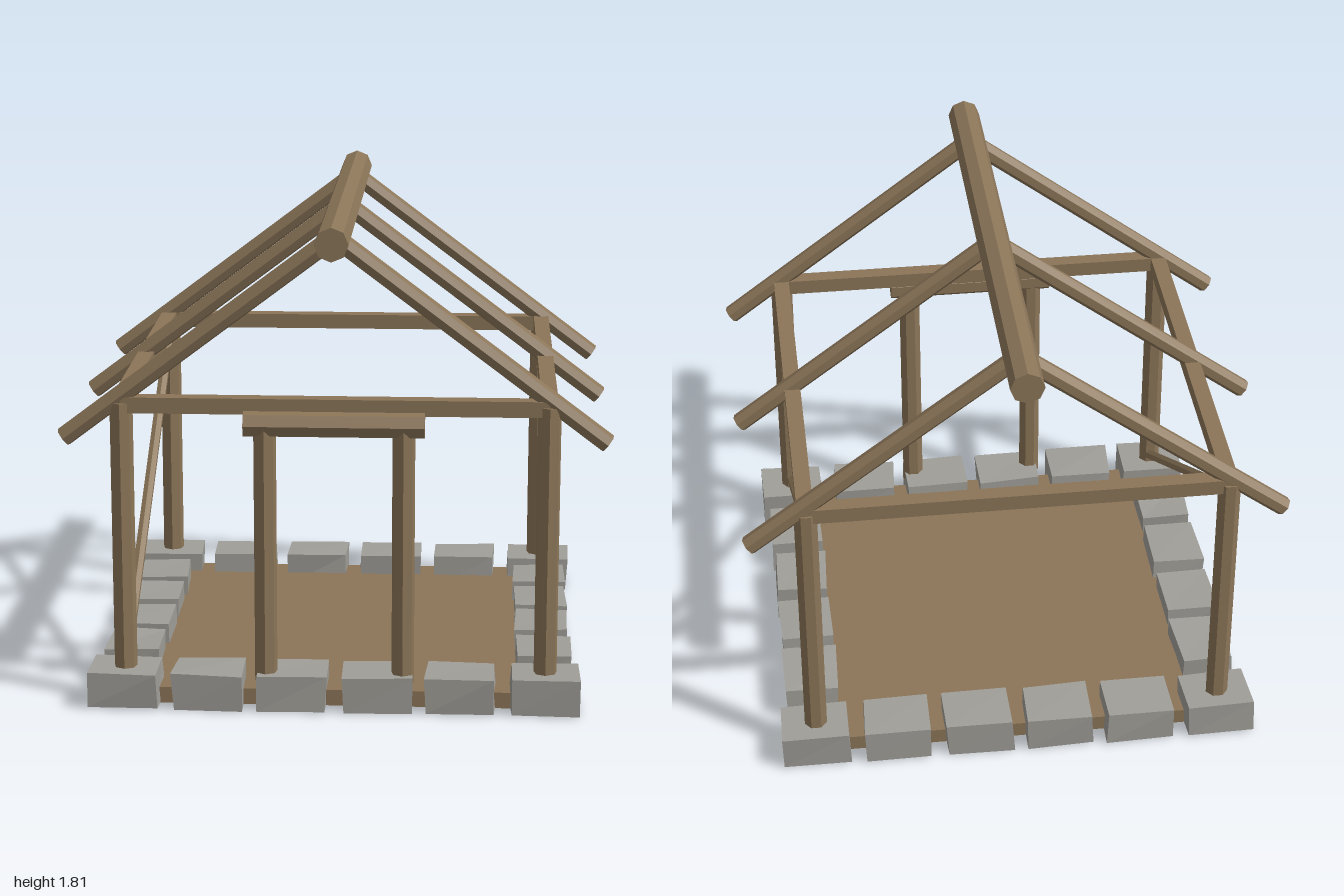
import * as THREE from 'three';

export function createModel() {
  const model = new THREE.Group();
  model.name = 'timberFrameHut';

  const material = (name, color) => {
    const m = new THREE.MeshStandardMaterial({ color });
    m.name = name;
    return m;
  };
  const wood = material('wood', 0x8b7558);
  const earth = material('earth floor', 0x8b7558);
  const stone = material('stone', 0xa09e98);

  const add = (name, geometry, mat) => {
    const mesh = new THREE.Mesh(geometry, mat);
    mesh.name = name;
    model.add(mesh);
    return mesh;
  };

  // Faceted log between two points
  const log = (name, a, b, radius, sides = 7) => {
    const from = new THREE.Vector3(...a), to = new THREE.Vector3(...b);
    const dir = to.clone().sub(from);
    const geo = new THREE.CylinderGeometry(radius, radius, dir.length(), sides).toNonIndexed();
    geo.computeVertexNormals();
    const mesh = add(name, geo, wood);
    mesh.position.copy(from).add(to).multiplyScalar(0.5);
    mesh.quaternion.setFromUnitVectors(new THREE.Vector3(0, 1, 0), dir.normalize());
    return mesh;
  };

  const box = (name, size, pos, mat) => add(name, new THREE.BoxGeometry(...size), mat).position.set(...pos);

  // Seeded irregularity for the stones
  let seed = 7;
  const jitter = (amount) => {
    seed = (seed * 16807) % 2147483647;
    return (seed / 2147483647 - 0.5) * 2 * amount;
  };

  // Rough block: each of the eight corners is nudged once
  const block = (x, z, w, d) => {
    const geo = new THREE.BoxGeometry(w, 0.135, d).toNonIndexed();
    const nudges = Array.from({ length: 8 }, () => [jitter(0.007), jitter(0.004), jitter(0.007)]);
    const p = geo.attributes.position;
    for (let i = 0; i < p.count; i++) {
      const corner = (p.getX(i) > 0 ? 1 : 0) + (p.getY(i) > 0 ? 2 : 0) + (p.getZ(i) > 0 ? 4 : 0);
      const [dx, dy, dz] = nudges[corner];
      p.setXYZ(i, p.getX(i) + dx, p.getY(i) + dy, p.getZ(i) + dz);
    }
    geo.computeVertexNormals();
    const mesh = add('foundationStone', geo, stone);
    mesh.position.set(x, 0.072, z);
    mesh.rotation.y = jitter(0.03);
  };

  // Earth floor
  box('floor', [1.58, 0.06, 1.58], [0, 0.033, 0], earth);

  // Ring of foundation stones
  const C = 0.77;
  for (let i = 0; i < 6; i++) {
    const t = -C + i * (2 * C / 5);
    for (const s of [-1, 1]) {
      block(t, s * C, 0.25, 0.2);
      if (i > 0 && i < 5) block(s * C, t, 0.2, 0.25);
    }
  }

  // Corner posts, side beams and diagonal braces
  for (const s of [-1, 1]) {
    for (const e of [-1, 1]) log('cornerPost', [s * C, 0.1, e * C], [s * C, 1.135, e * C], 0.043);
    box('sideBeam', [0.06, 0.06, 2 * C], [s * C, 1.13, 0], wood);
    box('endBeam', [2 * C, 0.058, 0.06], [0, 1.129, s * C], wood);
    log('brace', [s * C, 0.15, C], [s * C, 1.1, -C], 0.021, 6);
  }

  // Doorway
  for (const s of [-1, 1]) log('doorPost', [s * 0.25, 0.1, 0.8], [s * 0.25, 1.05, 0.8], 0.042);
  log('doorLintel', [-0.325, 1.067, 0.8], [0.325, 1.067, 0.8], 0.05);

  // Rafters and ridge pole
  for (const z of [-C, 0, C]) {
    for (const s of [-1, 1]) log('rafter', [0, 1.74, z], [s * 0.979, 1.002, z], 0.036);
  }
  log('ridgePole', [0, 1.747, -0.98], [0, 1.747, 0.975], 0.061, 8);

  return model;
}
